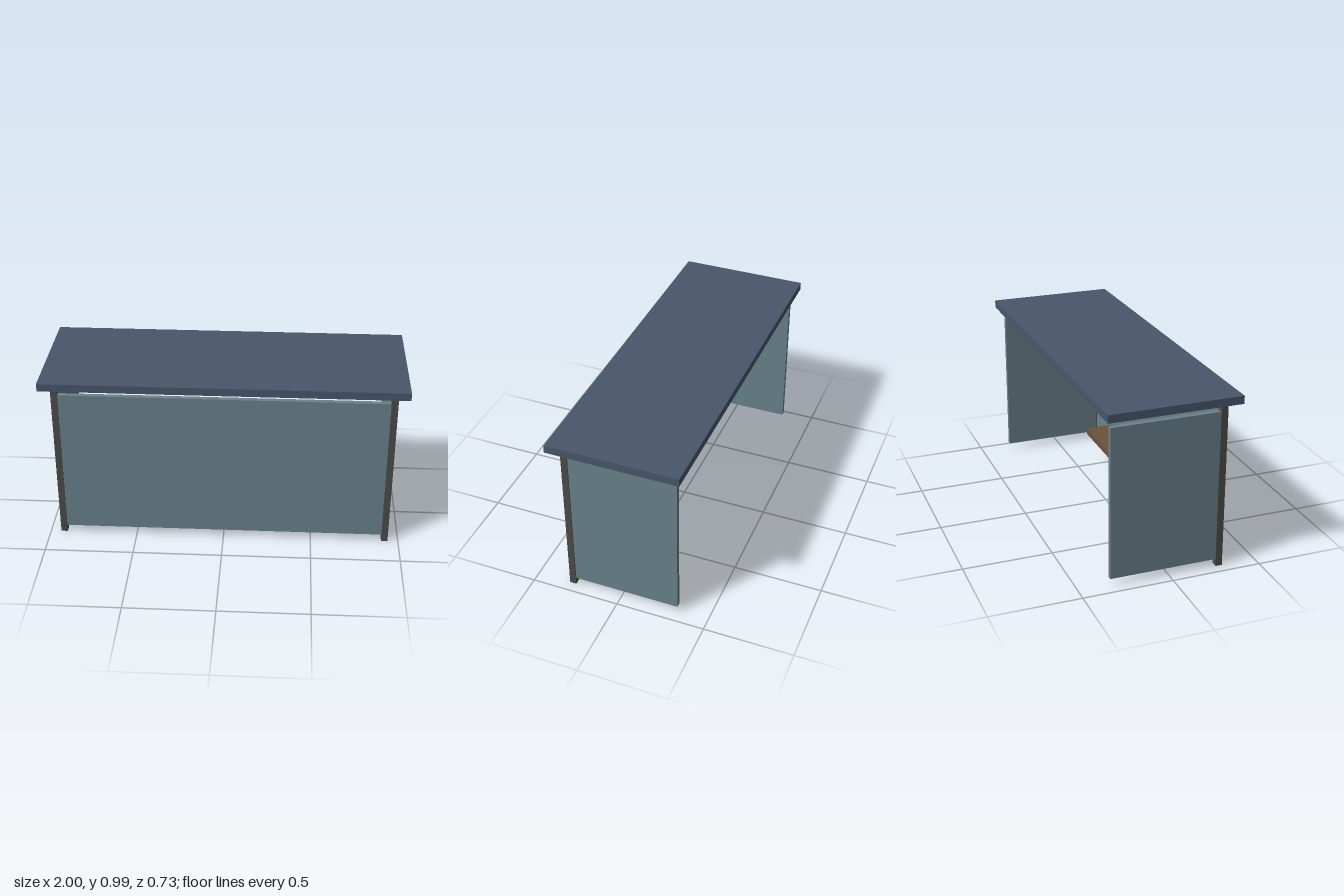
import * as THREE from 'three';

export function createModel() {
  const group = new THREE.Group();
  group.name = 'shelter';

  const mat = (name, color) => {
    const m = new THREE.MeshStandardMaterial({ color });
    m.name = name;
    return m;
  };
  const slate = mat('slate roof', 0x49576c);
  const blueGrey = mat('blue grey panel', 0x6a828d);
  const charcoal = mat('charcoal post', 0x4c4c4a);
  const wood = mat('brown wood', 0x6b5339);

  // Box from its minimum and maximum corners
  const box = (name, material, [x0, y0, z0], [x1, y1, z1]) => {
    const mesh = new THREE.Mesh(new THREE.BoxGeometry(x1 - x0, y1 - y0, z1 - z0), material);
    mesh.position.set((x0 + x1) / 2, (y0 + y1) / 2, (z0 + z1) / 2);
    mesh.name = name;
    group.add(mesh);
    return mesh;
  };

  // Flat roof slab
  box('roof', slate, [-1, 0.941, -0.365], [1, 0.985, 0.365]);

  // Long wall between the posts
  const bottom = 0.04, top = 0.887;
  box('frontPanel', blueGrey, [-0.906, bottom, 0.276], [0.906, top, 0.304]);

  // Mirrored posts and side walls
  for (const [side, s] of [['left', 1], ['right', -1]]) {
    const post = box(side + 'Post', charcoal, [0.904, 0, 0.271], [0.941, 0.941, 0.308]);
    const panel = box(side + 'Panel', blueGrey, [0.908, bottom, -0.327], [0.936, top, 0.276]);
    post.position.x *= s;
    panel.position.x *= s;
  }

  // Bench board inside the long wall
  box('bench', wood, [-0.575, 0.18, 0.087], [0.575, 0.218, 0.258]);

  return group;
}
